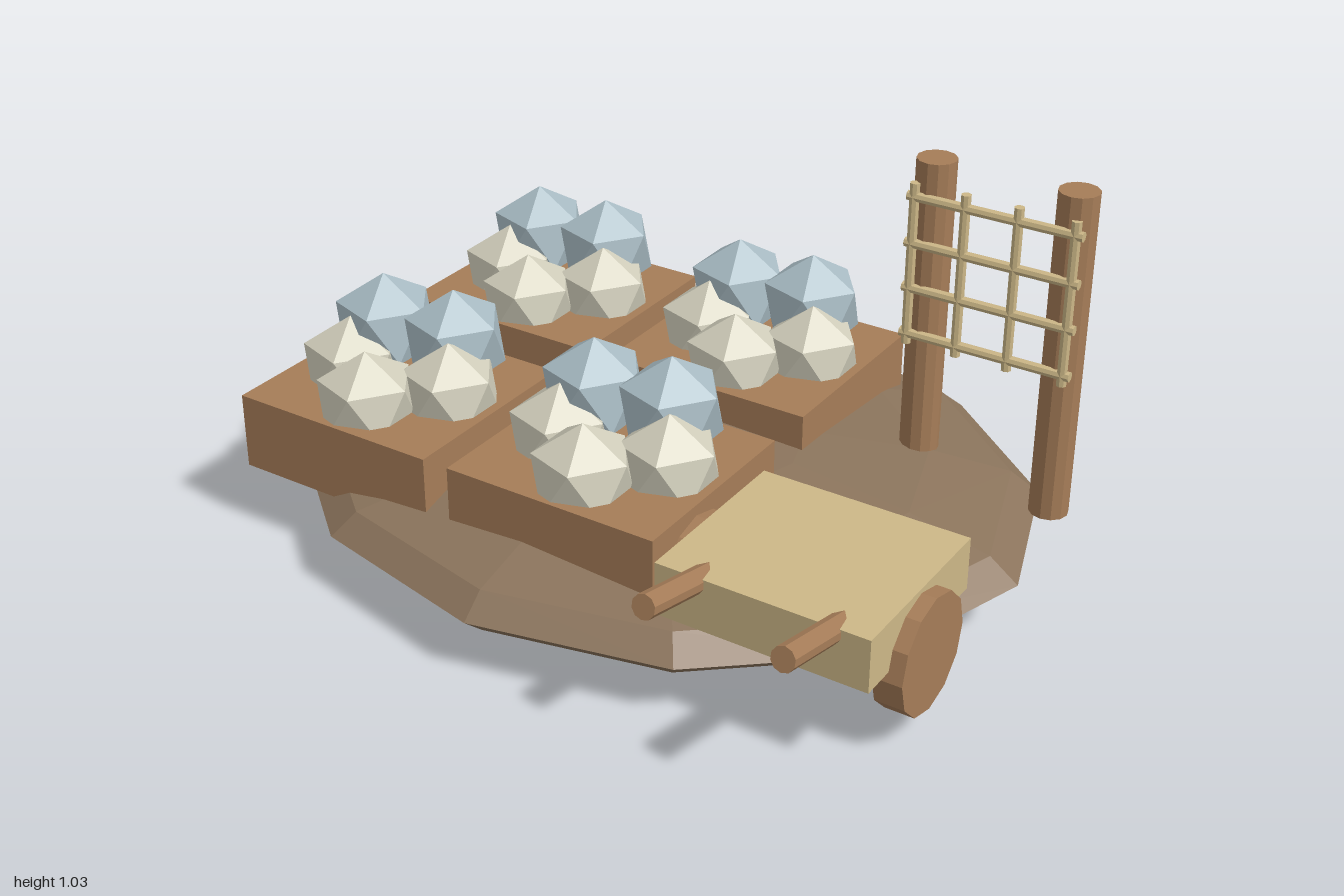
import * as THREE from 'three';

const mat = (color) => new THREE.MeshStandardMaterial({ color, flatShading: true });
const mats = {
  earth: mat(0x8b745c), wood: mat(0xa67d58), plank: mat(0xcdb888),
  blue: mat(0xa9bcc4), pale: mat(0xd2cfbc),
};

function add(parent, name, geometry, material, x, y, z) {
  const mesh = new THREE.Mesh(geometry, material);
  mesh.name = name;
  mesh.position.set(x, y, z);
  parent.add(mesh);
  return mesh;
}

// Round bar between two points
function bar(parent, name, from, to, radius, material, sides = 8) {
  const a = new THREE.Vector3(...from), b = new THREE.Vector3(...to);
  const dir = b.clone().sub(a), mid = a.clone().add(b).multiplyScalar(0.5);
  const mesh = add(parent, name, new THREE.CylinderGeometry(radius, radius, dir.length(), sides), material, mid.x, mid.y, mid.z);
  mesh.quaternion.setFromUnitVectors(new THREE.Vector3(0, 1, 0), dir.normalize());
  return mesh;
}

// Twenty-sided stone standing on one corner
function stoneGeometry(radius) {
  const g = new THREE.IcosahedronGeometry(radius, 0);
  g.rotateZ(-Math.atan(2 / (1 + Math.sqrt(5))));
  return g;
}

// Crate heaped with pale stones in front and blue ones behind
function crate(x, z) {
  const g = new THREE.Group();
  g.name = 'stoneCrate';
  add(g, 'crateBox', new THREE.BoxGeometry(0.586, 0.203, 0.542), mats.wood, 0, 0.277, 0);
  for (const [sx, sz] of [[-0.145, 0.01], [0.16, -0.005], [0.015, 0.143]])
    add(g, 'paleStone', stoneGeometry(0.138), mats.pale, sx, 0.398, sz);
  for (const [sx, sz] of [[-0.113, -0.09], [0.098, -0.11]])
    add(g, 'blueStone', stoneGeometry(0.141), mats.blue, sx, 0.484, sz);
  g.position.set(x, 0, z);
  return g;
}

// Two posts carrying a lattice
function rack() {
  const g = new THREE.Group();
  g.name = 'latticeRack';
  for (const x of [0.573, 0.936])
    bar(g, 'post', [x, 0.175, -0.337], [x, 1.035, -0.337], 0.05, mats.wood, 12);
  for (const y of [0.58, 0.703, 0.822, 0.944])
    bar(g, 'latticeRail', [0.525, y, -0.29], [0.975, y, -0.29], 0.013, mats.plank);
  for (const x of [0.542, 0.676, 0.812, 0.955])
    bar(g, 'latticeUpright', [x, 0.553, -0.29], [x, 0.98, -0.29], 0.013, mats.plank);
  return g;
}

// Handcart with two wheels and two raised handles
function cart() {
  const g = new THREE.Group();
  g.name = 'handcart';
  add(g, 'cartBed', new THREE.BoxGeometry(0.54, 0.135, 0.474), mats.plank, 0.69, 0.311, 0.42);
  for (const side of [-1, 1]) {
    const x = 0.69 + side * 0.27;
    bar(g, 'wheel', [x - 0.037, 0.22, 0.425], [x + 0.037, 0.22, 0.425], 0.147, mats.wood, 12);
    const hx = 0.69 + side * 0.17;
    bar(g, 'handle', [hx, 0.315, 0.45], [hx, 0.41, 0.852], 0.03, mats.wood, 10);
  }
  return g;
}

export function createModel() {
  const model = new THREE.Group();
  model.name = 'stoneYard';

  // Flattened mound of ground
  add(model, 'groundMound', new THREE.SphereGeometry(1, 12, 8), mats.earth, 0, 0.149, -0.023).scale.set(1, 0.147, 0.838);

  for (const x of [-0.582, 0.076])
    for (const z of [-0.363, 0.317]) model.add(crate(x, z));

  model.add(rack(), cart());
  return model;
}
